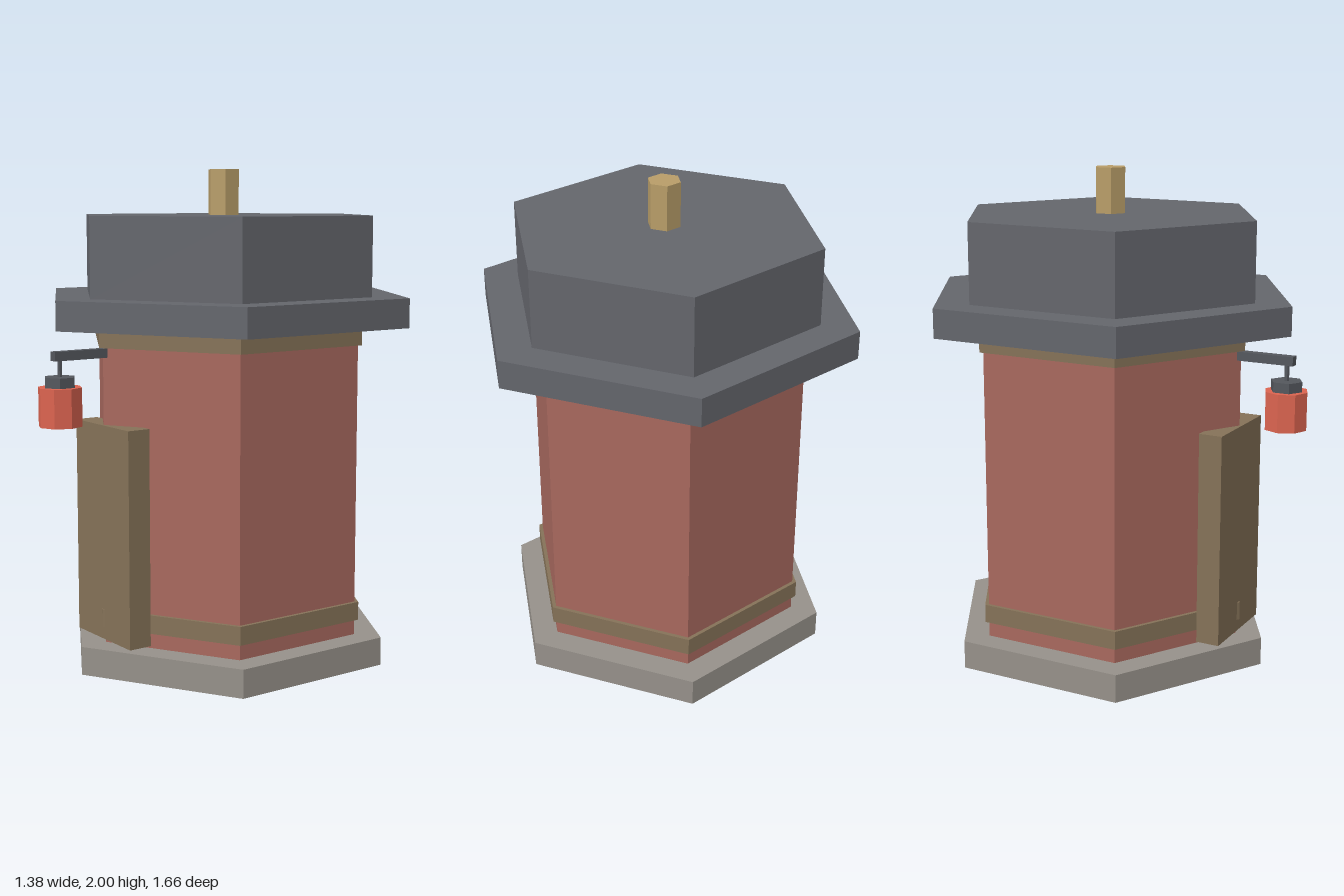
import * as THREE from 'three';

const CENTER_Z = -0.035;   // tower axis
const LANTERN_Z = 0.745;   // lantern axis

const material = (color) => new THREE.MeshStandardMaterial({ color, flatShading: true });

export function createModel() {
  const group = new THREE.Group();
  const brick = material(0xa8685e);
  const wood = material(0x857258);
  const stone = material(0x96918a);
  const slate = material(0x64666c);
  const brass = material(0xb89d68);
  const glow = material(0xdc6450);
  const iron = material(0x54575d);

  // Upright prism with a corner pointing to the front
  function prism(name, mat, radius, y0, y1, z = CENTER_Z, sides = 6) {
    const mesh = new THREE.Mesh(new THREE.CylinderGeometry(radius, radius, y1 - y0, sides), mat);
    mesh.name = name;
    mesh.position.set(0, (y0 + y1) / 2, z);
    group.add(mesh);
  }

  // Box centred on x = 0, given by its limits in y and z
  function box(name, mat, width, y0, y1, z0, z1) {
    const mesh = new THREE.Mesh(new THREE.BoxGeometry(width, y1 - y0, z1 - z0), mat);
    mesh.name = name;
    mesh.position.set(0, (y0 + y1) / 2, (z0 + z1) / 2);
    group.add(mesh);
  }

  // Tower
  prism('base', stone, 0.7, 0, 0.115);
  prism('walls', brick, 0.585, 0.115, 1.38);
  prism('lowerBand', wood, 0.602, 0.178, 0.253);
  prism('upperBand', wood, 0.602, 1.305, 1.38);
  prism('eaves', slate, 0.795, 1.38, 1.497);
  prism('roof', slate, 0.64, 1.497, 1.817);
  prism('finial', brass, 0.067, 1.817, 2);

  // Door across the front corner
  box('door', wood, 0.388, 0.13, 1.0, 0.463, 0.56);

  // Hanging lantern
  box('lanternArm', iron, 0.036, 1.267, 1.303, 0.54, 0.775);
  prism('lanternHanger', iron, 0.01, 1.2, 1.27, LANTERN_Z);
  prism('lanternCap', iron, 0.065, 1.165, 1.205, LANTERN_Z);
  prism('lanternBody', glow, 0.087, 1.013, 1.165, LANTERN_Z, 8);

  return group;
}
